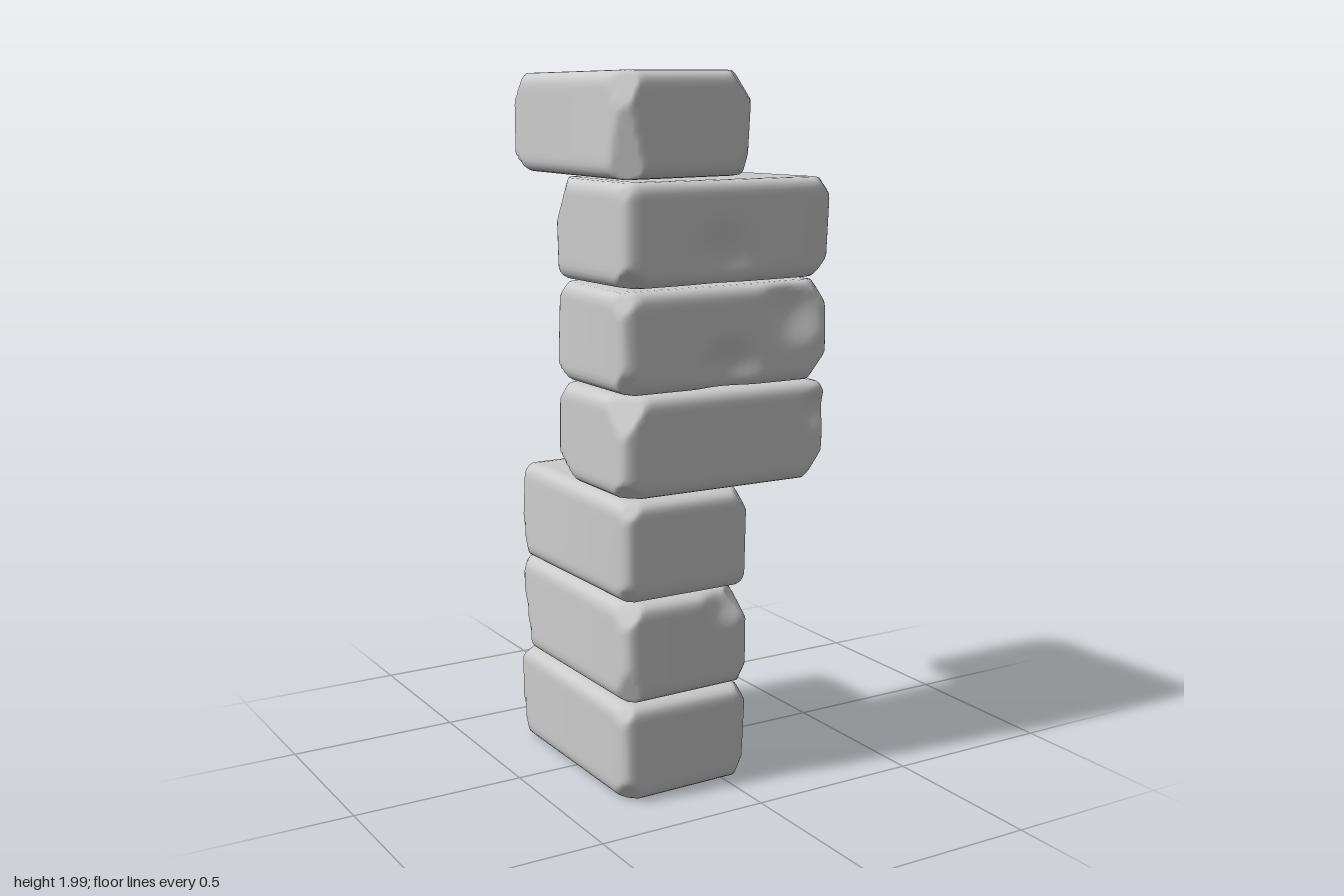
import * as THREE from 'three';
import { mergeVertices } from 'three/addons/utils/BufferGeometryUtils.js';

const COURSES = 7;
const COURSE_HEIGHT = 2 / COURSES;
const EDGE_RADIUS = 0.038;

// The two footprints: one runs front to back, the other runs along the front
const DEEP = { width: 0.42, depth: 0.67, x: -0.13, z: 0 };
const WIDE = { width: 0.675, depth: 0.42, x: 0, z: 0.13 };
const PLANS = [DEEP, DEEP, DEEP, WIDE, WIDE, WIDE, DEEP];

// Hollows pressed into single stones, placed in the model's frame
const DENTS = [
  { course: 1, at: [0, 0.55, 0.33], radius: 0.09, push: -0.025 },
  { course: 3, at: [0.3, 1.06, 0.34], radius: 0.07, push: -0.02 },
  { course: 4, at: [0, 1.19, 0.34], radius: 0.12, push: -0.035 },
  { course: 4, at: [0.22, 1.36, 0.34], radius: 0.13, push: -0.03 },
  { course: 5, at: [-0.03, 1.5, 0.34], radius: 0.13, push: -0.02 },
  { course: 5, at: [0.13, 1.6, -0.08], radius: 0.12, push: 0.035 },
];

// Small seeded generator for the uneven corners
function seeded(seed) {
  let s = seed * 7919 + 17;
  return () => (s = (s * 16807) % 2147483647) / 2147483647;
}

// One entry per corner: its signs, how far it is pulled in, and the plane that chips it
function makeCorners(half, rand) {
  return Array.from({ length: 8 }, (_, k) => {
    const sign = new THREE.Vector3(k & 1 ? 1 : -1, k & 2 ? 1 : -1, k & 4 ? 1 : -1);
    const inset = new THREE.Vector3(rand() * 0.016, rand() * 0.006, rand() * 0.016).multiply(sign);
    const slant = new THREE.Vector3(0.5 + rand() * 0.5, 0.2 + rand() * 0.8, 0.5 + rand() * 0.5);
    const normal = slant.multiply(sign).normalize();
    const limit = normal.dot(half.clone().multiply(sign)) - 0.035 - rand() * 0.035;
    return { sign, inset, normal, limit };
  });
}

// Rounded block with uneven corners, flat chips and shallow dents
function stoneGeometry(plan, course) {
  const half = new THREE.Vector3(plan.width, COURSE_HEIGHT, plan.depth).multiplyScalar(0.5);
  const centre = new THREE.Vector3(plan.x, (course + 0.5) * COURSE_HEIGHT, plan.z);
  const inner = half.clone().subScalar(EDGE_RADIUS);
  const innerMin = inner.clone().negate();
  const corners = makeCorners(half, seeded(course + 1));
  const dents = DENTS.filter((dent) => dent.course === course)
    .map((dent) => ({ ...dent, at: new THREE.Vector3(...dent.at).sub(centre) }));

  let geo = new THREE.BoxGeometry(plan.width, COURSE_HEIGHT, plan.depth, 30, 18, 30);
  geo.deleteAttribute('uv');
  geo.deleteAttribute('normal');
  geo = mergeVertices(geo, 1e-5);
  const pos = geo.attributes.position;
  const p = new THREE.Vector3(), core = new THREE.Vector3(), u = new THREE.Vector3();

  for (let i = 0; i < pos.count; i++) {
    // Round the edges
    p.fromBufferAttribute(pos, i);
    core.copy(p).clamp(innerMin, inner);
    p.sub(core).setLength(EDGE_RADIUS).add(core);

    // Pull each corner in by its own amount
    u.copy(p).divide(half);
    for (const { sign, inset } of corners) {
      const weight = (1 + sign.x * u.x) * (1 + sign.y * u.y) * (1 + sign.z * u.z) / 8;
      p.addScaledVector(inset, -weight);
    }

    // Flatten whatever lies beyond a chip plane
    for (const { normal, limit } of corners) {
      p.addScaledVector(normal, -Math.max(0, p.dot(normal) - limit));
    }

    // Press in the dents
    for (const { at, radius, push } of dents) {
      const d = Math.min(1, p.distanceTo(at) / radius);
      p.z += push * (1 - d * d) ** 2;
    }
    pos.setXYZ(i, p.x, p.y, p.z);
  }
  geo.computeVertexNormals();
  return geo.translate(centre.x, centre.y, centre.z);
}

export function createModel() {
  const group = new THREE.Group();
  group.name = 'stonePillar';
  const material = new THREE.MeshStandardMaterial({ color: 0xcccccc });
  PLANS.forEach((plan, course) => {
    const stone = new THREE.Mesh(stoneGeometry(plan, course), material);
    stone.name = `stone${course + 1}`;
    group.add(stone);
  });
  return group;
}
